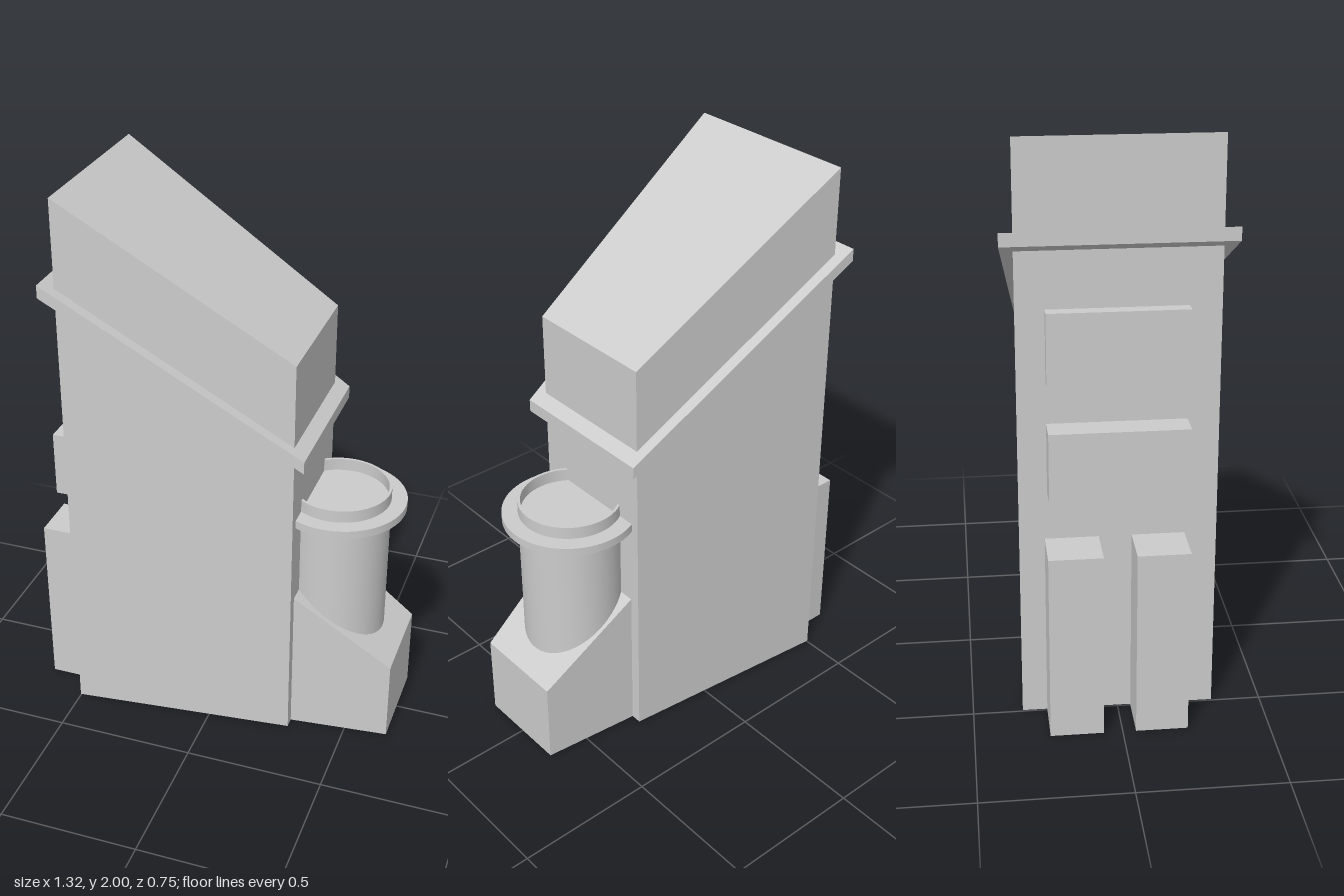
import * as THREE from 'three';
import { toCreasedNormals } from 'three/addons/utils/BufferGeometryUtils.js';

const material = new THREE.MeshStandardMaterial({ color: 0xcccccc });

function addMesh(parent, name, geometry) {
  const mesh = new THREE.Mesh(geometry, material);
  mesh.name = name;
  parent.add(mesh);
  return mesh;
}

// Block between two upright end faces, each { x, halfDepth, bottom, top }
function taperedBlock(start, end) {
  const geometry = new THREE.BoxGeometry(1, 1, 1);
  const p = geometry.attributes.position;
  for (let i = 0; i < p.count; i++) {
    const face = p.getX(i) < 0 ? start : end;
    p.setXYZ(
      i,
      face.x,
      p.getY(i) < 0 ? face.bottom : face.top,
      Math.sign(p.getZ(i)) * face.halfDepth
    );
  }
  geometry.computeVertexNormals();
  return geometry;
}

// Straight box given by its limits
function boxBetween(x0, x1, y0, y1, z0, z1) {
  return new THREE.BoxGeometry(x1 - x0, y1 - y0, z1 - z0)
    .translate((x0 + x1) / 2, (y0 + y1) / 2, (z0 + z1) / 2);
}

export function createModel() {
  const model = new THREE.Group();
  model.name = 'tower';

  // Main tower with sloping top, narrowing towards +x
  addMesh(model, 'towerBody', taperedBlock(
    { x: -0.5, halfDepth: 0.33, bottom: 0.004, top: 2 },
    { x: 0.3, halfDepth: 0.247, bottom: 0.004, top: 1.5 }
  ));

  // Slanted band around the tower
  addMesh(model, 'slantedBand', taperedBlock(
    { x: -0.54, halfDepth: 0.376, bottom: 1.67, top: 1.715 },
    { x: 0.345, halfDepth: 0.283, bottom: 1.127, top: 1.172 }
  ));

  // Wedge-shaped base below the column
  addMesh(model, 'wedgeBase', taperedBlock(
    { x: 0.2, halfDepth: 0.219, bottom: 0.004, top: 0.63 },
    { x: 0.655, halfDepth: 0.172, bottom: 0.004, top: 0.31 }
  ));

  // Round column with a flange and a shallow recess in its top
  const profile = [
    [0, 0.25], [0.18, 0.25], [0.18, 0.86], [0.236, 0.86], [0.236, 0.89],
    [0.18, 0.89], [0.18, 0.935], [0.17, 0.935], [0.17, 0.89], [0, 0.89]
  ].map(([r, y]) => new THREE.Vector2(r, y));
  const column = addMesh(model, 'column',
    toCreasedNormals(new THREE.LatheGeometry(profile, 64), 0.6));
  column.position.set(0.4, 0, -0.003);

  // Two flat panels on the wide end
  addMesh(model, 'upperPanel', boxBetween(-0.545, -0.4, 1.215, 1.455, -0.235, 0.225));
  addMesh(model, 'lowerPanel', boxBetween(-0.595, -0.4, 0.83, 1.07, -0.235, 0.225));

  // Pair of buttresses running under the tower
  for (const [name, z0, z1] of [['rearButtress', -0.245, -0.065], ['frontButtress', 0.045, 0.222]]) {
    addMesh(model, name, boxBetween(-0.66, 0, 0, 0.66, z0, z1));
  }

  return model;
}
